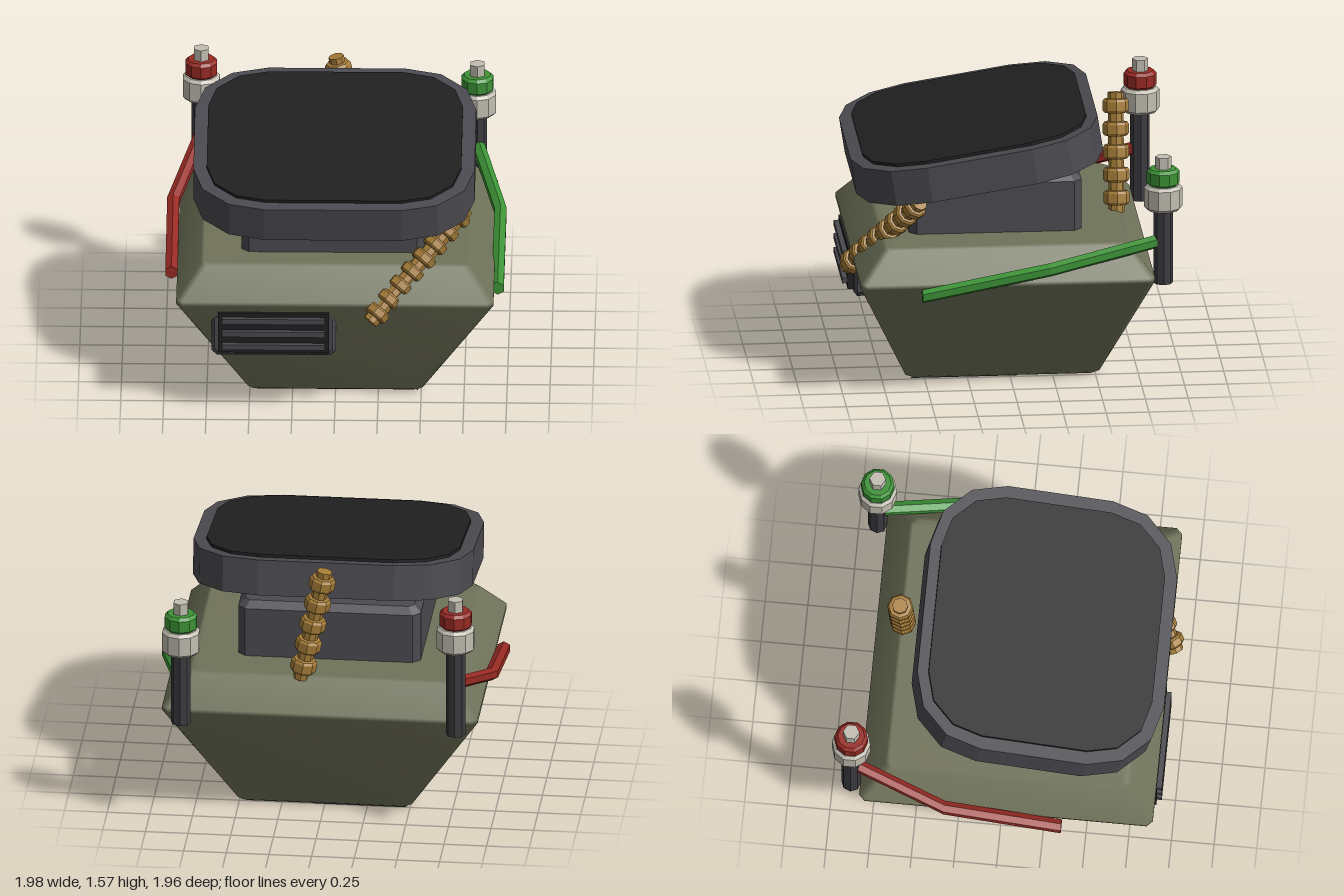
import * as THREE from 'three';
import { toCreasedNormals } from 'three/addons/utils/BufferGeometryUtils.js';

const mat = (name, color) => {
  const m = new THREE.MeshStandardMaterial({ color });
  m.name = name;
  return m;
};

// Skin closed rings of points, each running counter-clockwise about the sweep direction.
function loft(rings, smooth = false) {
  const n = rings[0].length, last = (rings.length - 1) * n, index = [];
  for (let i = 0; i < rings.length - 1; i++) {
    for (let j = 0; j < n; j++) {
      const a = i * n + j, b = i * n + (j + 1) % n;
      index.push(a, b, a + n, b, b + n, a + n);
    }
  }
  for (let j = 1; j < n - 1; j++) {
    index.push(0, j + 1, j, last, last + j, last + j + 1);
  }
  const g = new THREE.BufferGeometry();
  g.setAttribute('position', new THREE.Float32BufferAttribute(rings.flat(2), 3));
  g.setIndex(index);
  if (smooth) {
    g.computeVertexNormals();
    return g;
  }
  return toCreasedNormals(g, 0.1);
}

// Horizontal rectangle with chamfered corners.
const rectRing = (y, x, z0, z1, c) => [
  [x, z1 - c], [x, z0 + c], [x - c, z0], [c - x, z0],
  [-x, z0 + c], [-x, z1 - c], [c - x, z1], [x - c, z1],
].map(([px, pz]) => [px, y, pz]);

// Slab with corners rounded in three segments, lying flat with its base at y = 0.
function roundedSlab(w, l, r, h) {
  const pts = [];
  for (let q = 0; q < 4; q++) {
    const sx = q === 0 || q === 3 ? 1 : -1, sy = q < 2 ? 1 : -1;
    for (let k = 0; k <= 3; k++) {
      const a = (q + k / 3) * Math.PI / 2;
      pts.push(new THREE.Vector2(sx * (w / 2 - r) + r * Math.cos(a), sy * (l / 2 - r) + r * Math.sin(a)));
    }
  }
  const g = new THREE.ExtrudeGeometry(new THREE.Shape(pts), { depth: h, bevelEnabled: false });
  return g.rotateX(-Math.PI / 2);
}

// Faceted turned part from [radius, height] pairs.
const turned = (profile, sides) => toCreasedNormals(
  new THREE.LatheGeometry(profile.map(([r, y]) => new THREE.Vector2(r, y)), sides), 0.1);

// Chamfered collar profile.
const collar = (r, y0, y1, c) => [[0, y0], [r - c, y0], [r, y0 + c], [r, y1 - c], [r - c, y1], [0, y1]];

// Rod carrying evenly spaced collars from a to b.
function beadedRod(a, b, count, r, core) {
  const dir = b.clone().sub(a), len = dir.length(), step = len / count, p = [[0, 0]];
  for (let i = 0; i < count; i++) {
    const y = i * step;
    p.push([core, y], [core, y + step * 0.32], [r - 0.01, y + step * 0.34], [r, y + step * 0.45],
      [r, y + step * 0.83], [r - 0.01, y + step * 0.94], [core, y + step * 0.96]);
  }
  p.push([core, len + 0.03], [0, len + 0.03]);
  const g = turned(p, 8);
  g.applyQuaternion(new THREE.Quaternion().setFromUnitVectors(new THREE.Vector3(0, 1, 0), dir.normalize()));
  return g.translate(a.x, a.y, a.z);
}

// Hexagonal wire through a few points, running towards +z.
const wire = (path, r) => loft(path.map(([x, y, z]) => Array.from({ length: 6 }, (_, k) => {
  const a = (k + 0.5) * Math.PI / 3;
  return [x + r * Math.cos(a), y + r * Math.sin(a), z];
})));

export function createModel() {
  const model = new THREE.Group();
  model.name = 'device';
  const olive = mat('olive', 0x70735a), grey = mat('grey', 0x4b4a50), black = mat('black', 0x202020);
  const charcoal = mat('charcoal', 0x3c3c40), silver = mat('silver', 0xc2beb2), bronze = mat('bronze', 0xa67d38);
  const red = mat('red', 0x982a23), green = mat('green', 0x3c9336);

  const add = (name, geometry, material, parent = model, x = 0, y = 0, z = 0) => {
    const m = new THREE.Mesh(geometry, material);
    m.name = name;
    m.position.set(x, y, z);
    parent.add(m);
    return m;
  };

  // Hull, with close pairs of rings to keep the ridges firm
  add('hull', loft([
    rectRing(0.003, 0.48, -0.5, 0.58, 0.03),
    rectRing(0.02, 0.51, -0.525, 0.61, 0.03),
    rectRing(0.685, 0.925, -0.815, 0.905, 0.035),
    rectRing(0.71, 0.925, -0.815, 0.905, 0.035),
    rectRing(0.878, 0.785, -0.675, 0.76, 0.035),
    rectRing(0.89, 0.765, -0.655, 0.74, 0.035),
  ], true), olive);

  // Plate on part of the underside
  const plate = new THREE.Shape([[0.48, 0.58], [-0.48, -0.5], [0.06, -0.5], [0.48, -0.04]]
    .map(([x, z]) => new THREE.Vector2(x, z)));
  add('bottomPlate', new THREE.ExtrudeGeometry(plate, { depth: 0.004, bevelEnabled: false })
    .rotateX(Math.PI / 2), grey, model, 0, 0.004);

  // Pedestal
  add('pedestal', loft([
    rectRing(0.8, 0.535, -0.42, 0.59, 0.045),
    rectRing(1.19, 0.535, -0.42, 0.59, 0.045),
    rectRing(1.23, 0.495, -0.38, 0.55, 0.03),
  ]), grey, model, -0.015);

  // Tilted head with its screen
  const head = new THREE.Group();
  head.name = 'head';
  head.position.set(-0.01, 1.33, 0.185);
  head.rotation.x = 0.158;
  model.add(head);
  add('tray', roundedSlab(1.64, 1.463, 0.42, 0.213), grey, head, 0, -0.1065);
  add('screen', roundedSlab(1.485, 1.325, 0.35, 0.018), black, head, 0, 0.1065, -0.005);

  // Front vent
  const vent = new THREE.Group();
  vent.name = 'vent';
  vent.position.set(-0.357, 0.5, 0);
  model.add(vent);
  add('ventHousing', loft([
    rectRing(0.6, 0.363, -0.135, 0.15, 0.03),
    rectRing(0.85, 0.363, -0.135, 0.15, 0.03),
    rectRing(0.87, 0.345, -0.115, 0.13, 0.03),
  ]).rotateX(Math.PI / 2), grey, vent);
  add('ventPanel', new THREE.BoxGeometry(0.645, 0.25, 0.05), black, vent, 0, 0.015, 0.88);
  for (const y of [-0.065, 0.018, 0.1]) {
    add('ventSlat', new THREE.BoxGeometry(0.6, 0.033, 0.04), grey, vent, 0, y, 0.915);
  }

  // Rear terminals: post, nut, coloured collar and tip
  for (const [side, colour, lift] of [[-1, red, 0.09], [1, green, 0]]) {
    const t = new THREE.Group();
    t.name = side < 0 ? 'rightTerminal' : 'leftTerminal';
    t.position.set(side * 0.805, 0, -0.87);
    model.add(t);
    add('post', turned([[0, 0.65], [0.057, 0.65], [0.057, 1.2], [0, 1.2]], 8), charcoal, t);
    add('nut', turned(collar(0.113, 1.1, 1.25, 0.018), 10), silver, t, 0, lift);
    add('collar', turned(collar(0.097, 1.245, 1.35, 0.018), 10), colour, t, 0, lift);
    add('tip', turned([[0, 1.3], [0.048, 1.3], [0.048, 1.42], [0, 1.42]], 6), silver, t, 0, lift);
  }

  // Wires along the sides
  add('redWire', wire([[-0.81, 0.96, -0.83], [-0.96, 0.79, -0.31], [-0.96, 0.65, 0.375]], 0.041), red);
  add('greenWire', wire([[0.81, 0.905, -0.84], [0.95, 0.79, -0.2], [0.945, 0.645, 0.55]], 0.041), green);

  // Beaded bronze rods
  const v = (x, y, z) => new THREE.Vector3(x, y, z);
  add('rearRod', beadedRod(v(0.125, 0.87, -0.655), v(-0.01, 1.53, -0.66), 5, 0.077, 0.046), bronze);
  add('frontRod', beadedRod(v(0.76, 1.16, 0.55), v(0.225, 0.625, 0.92), 8, 0.073, 0.048), bronze);

  return model;
}
